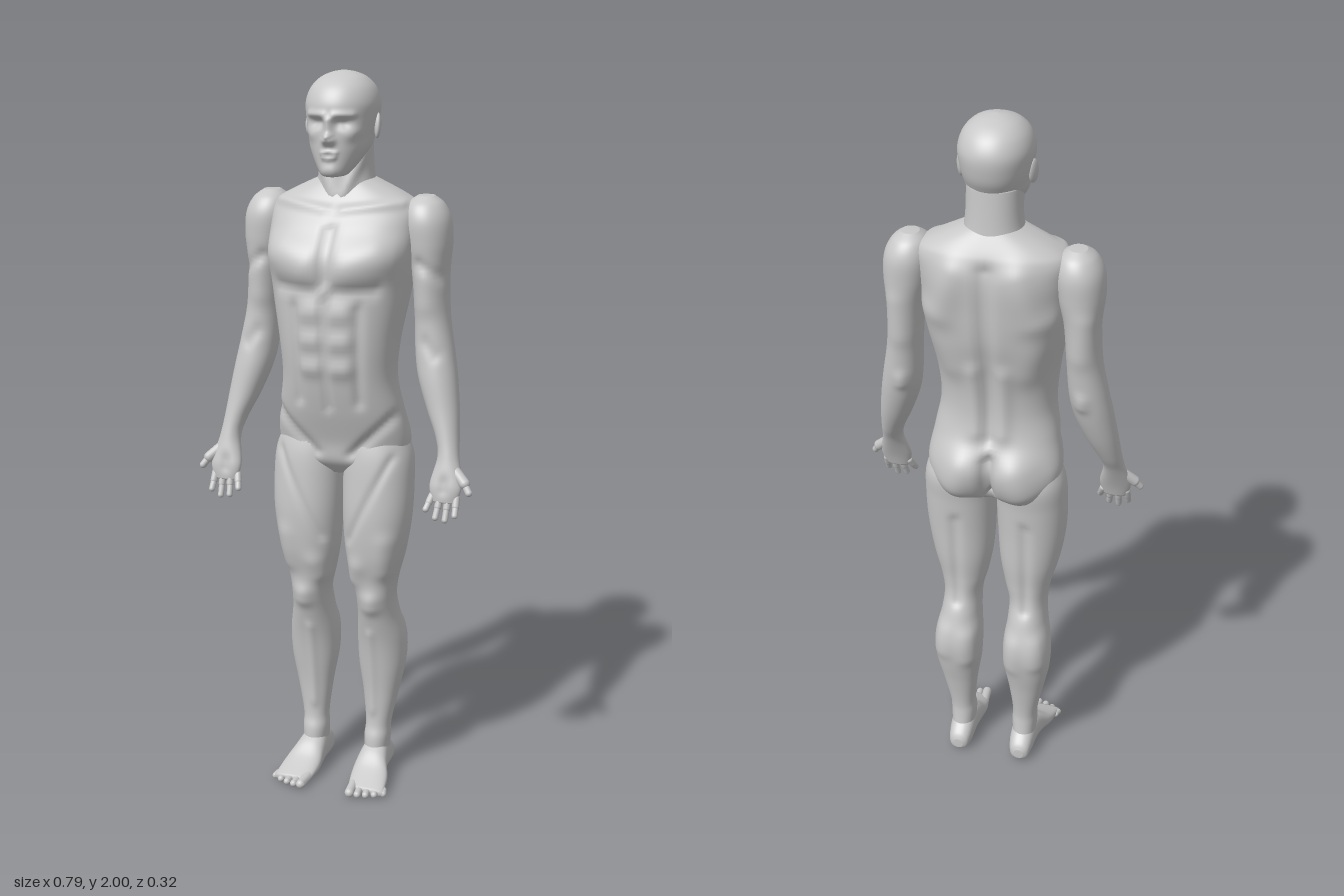
import * as THREE from 'three';

const skin = new THREE.MeshStandardMaterial({ color: 0xc8c8c8 });
skin.name = 'grey clay';

const catmull = (a, b, c, d, t) =>
  0.5 * (2 * b + (c - a) * t + (2 * a - 5 * b + 4 * c - d) * t * t + (3 * b - a - 3 * c + d) * t * t * t);

// Muscle relief: [x, y, toX, toY, radius, height] is a soft ridge or groove on the front or back, same on both sides
function sculpt(geo, front, back) {
  geo.computeVertexNormals();
  const pos = geo.attributes.position, nor = geo.attributes.normal;
  const p = new THREE.Vector3(), n = new THREE.Vector3(), q = new THREE.Vector3();
  for (let i = 0; i < pos.count; i++) {
    p.fromBufferAttribute(pos, i);
    n.fromBufferAttribute(nor, i);
    const flat = new THREE.Vector3(Math.abs(p.x), p.y, 0);
    let h = 0;
    for (const [x, y, toX, toY, r, amp] of n.z > 0 ? front : back) {
      const line = new THREE.Line3(new THREE.Vector3(x, y, 0), new THREE.Vector3(toX, toY, 0));
      line.closestPointToPoint(flat, true, q);
      h += amp * Math.exp(-flat.distanceToSquared(q) / (r * r));
    }
    p.addScaledVector(n, h * Math.min(1, 1.5 * Math.abs(n.z)));
    pos.setXYZ(i, p.x, p.y, p.z);
  }
  geo.computeVertexNormals();
  return geo;
}

// Skin over sections [t, xMin, xMax, front, back]; t runs up y, or along z when alongZ is set
function loft(sections, { around = 56, steps = 8, power = 0.92, alongZ = false, front = [], back = [] } = {}) {
  const rings = [], last = sections.length - 1;
  for (let k = 0; k < last; k++) {
    for (let s = 0; s < steps; s++) {
      const [a, b, c, d] = [k - 1, k, k + 1, k + 2].map(i => sections[Math.min(last, Math.max(0, i))]);
      rings.push(b.map((_, i) => catmull(a[i], b[i], c[i], d[i], s / steps)));
    }
  }
  rings.push(sections[last]);
  const v = [], idx = [];
  const put = (x, t, w) => (alongZ ? v.push(x, w, t) : v.push(x, t, w));
  const tri = (a, b, c) => (alongZ ? idx.push(a, c, b) : idx.push(a, b, c));
  const round = u => Math.sign(u) * Math.pow(Math.abs(u), power);
  for (const [t, x0, x1, f, b] of rings) {
    for (let i = 0; i < around; i++) {
      const ang = (i / around) * Math.PI * 2;
      put((x0 + x1) / 2 + ((x1 - x0) / 2) * round(Math.cos(ang)), t,
        (f + b) / 2 + ((f - b) / 2) * round(Math.sin(ang)));
    }
  }
  for (let j = 0; j < rings.length - 1; j++) {
    for (let i = 0; i < around; i++) {
      const a = j * around + i, b = j * around + ((i + 1) % around);
      tri(a, a + around, b);
      tri(b, a + around, b + around);
    }
  }
  // End caps
  for (const j of [0, rings.length - 1]) {
    const [t, x0, x1, f, b] = rings[j], c = v.length / 3;
    put((x0 + x1) / 2, t, (f + b) / 2);
    for (let i = 0; i < around; i++) {
      const p = j * around + i, q = j * around + ((i + 1) % around);
      if (j === 0) tri(c, p, q); else tri(c, q, p);
    }
  }
  const geo = new THREE.BufferGeometry();
  geo.setAttribute('position', new THREE.Float32BufferAttribute(v, 3));
  geo.setIndex(idx);
  return sculpt(geo, front, back);
}

// Sections [y, halfWidth, front, back] for parts on the centre line
const centred = rows => rows.map(([y, w, f, b]) => [y, -w, w, f, b]);

// Rounded finger or toe bone between two points
function digit(a, b, r) {
  const A = new THREE.Vector3(...a), B = new THREE.Vector3(...b), d = B.clone().sub(A);
  const geo = new THREE.CapsuleGeometry(r, d.length(), 6, 14);
  geo.applyQuaternion(new THREE.Quaternion().setFromUnitVectors(new THREE.Vector3(0, 1, 0), d.normalize()));
  return geo.translate(...A.add(B).multiplyScalar(0.5).toArray());
}

function mirrored(geo) {
  const g = geo.clone().scale(-1, 1, 1), ix = g.index.array;
  for (let i = 0; i < ix.length; i += 3) [ix[i], ix[i + 1]] = [ix[i + 1], ix[i]];
  g.computeVertexNormals();
  return g;
}

export function createModel() {
  const man = new THREE.Group();
  man.name = 'standingMan';
  const add = (name, geo) => {
    const m = new THREE.Mesh(geo, skin);
    m.name = name;
    man.add(m);
  };
  const pair = (name, geo) => {
    add('left' + name, geo);
    add('right' + name, mirrored(geo));
  };

  // Torso: pelvis, belly, chest and sloping shoulders
  const trunk = centred([
    [0.92, 0.08, 0.03, -0.08], [0.96, 0.165, 0.066, -0.11], [1.02, 0.186, 0.078, -0.122],
    [1.11, 0.172, 0.108, -0.105], [1.2, 0.157, 0.131, -0.097], [1.3, 0.164, 0.144, -0.108],
    [1.42, 0.184, 0.147, -0.138], [1.53, 0.198, 0.142, -0.15], [1.6, 0.202, 0.104, -0.152],
    [1.65, 0.2, 0.066, -0.142], [1.68, 0.165, 0.045, -0.13], [1.73, 0.06, 0.02, -0.1],
  ]);
  const trunkFront = [
    [0.06, 1.505, 0.13, 1.53, 0.05, 0.02], // chest
    [0, 1.6, 0, 1.47, 0.014, -0.013],
    [0.03, 1.445, 0.13, 1.45, 0.016, -0.009],
    [0.02, 1.645, 0.17, 1.665, 0.012, 0.008], // collarbone
    ...[1.385, 1.31, 1.235].map(y => [0.03, y, 0.05, y, 0.024, 0.009]), // belly muscles
    [0, 1.42, 0, 1.12, 0.009, -0.007],
    [0.09, 1.4, 0.085, 1.14, 0.014, -0.008],
    [0.17, 1.1, 0.05, 0.985, 0.014, -0.01], // groin line
  ];
  const trunkBack = [
    [0, 1.63, 0, 1.12, 0.02, -0.016], // spine
    [0.085, 1.62, 0.12, 1.5, 0.04, 0.014], // shoulder blade
    [0.16, 1.49, 0.1, 1.33, 0.04, 0.008],
    [0.04, 1.33, 0.035, 1.14, 0.022, 0.009],
    [0.07, 1.03, 0.085, 0.98, 0.06, 0.035], // buttocks
    [0, 1.06, 0, 0.92, 0.014, -0.03],
  ];
  add('torso', loft(trunk, { around: 112, power: 0.84, front: trunkFront, back: trunkBack }));

  // Neck
  const neck = centred([[1.62, 0.1, 0.045, -0.12], [1.73, 0.075, 0.037, -0.107], [1.83, 0.07, 0.03, -0.1]]);
  add('neck', loft(neck, { steps: 16, front: [[0.066, 1.8, 0.015, 1.68, 0.013, 0.007]] }));

  // Head with sculpted face
  const skull = centred([
    [1.735, 0.022, 0.092, 0.04], [1.745, 0.04, 0.102, 0.01], [1.8, 0.074, 0.106, -0.075],
    [1.84, 0.084, 0.106, -0.108], [1.88, 0.092, 0.108, -0.122], [1.92, 0.095, 0.106, -0.125],
    [1.955, 0.084, 0.088, -0.11], [1.98, 0.062, 0.058, -0.083], [1.994, 0.034, 0.022, -0.05],
    [2, 0.004, -0.008, -0.016],
  ]);
  const face = [
    [0, 1.878, 0, 1.845, 0.011, 0.011], // nose
    [0, 1.834, 0.004, 1.828, 0.012, 0.018],
    [0.028, 1.872, 0.042, 1.871, 0.014, -0.011], // eyes
    [0.014, 1.892, 0.055, 1.893, 0.01, 0.006],
    [0.06, 1.848, 0.05, 1.842, 0.018, 0.006], // cheeks
    [0, 1.8, 0.018, 1.797, 0.006, 0.006], // lips
    [0, 1.783, 0.015, 1.785, 0.006, 0.006],
    [0, 1.752, 0.008, 1.752, 0.015, 0.006], // chin
  ];
  add('head', loft(skull, { around: 112, steps: 12, power: 0.95, front: face }));

  // Ears
  const ear = new THREE.SphereGeometry(1, 20, 14).scale(0.009, 0.033, 0.019);
  pair('Ear', ear.rotateY(0.35).rotateX(-0.15).translate(0.093, 1.86, -0.012));

  // Arms from palm to shoulder cap
  const arm = [
    [0.885, 0.284, 0.35, 0.093, 0.068], [0.93, 0.274, 0.362, 0.093, 0.05], [1, 0.287, 0.346, 0.074, 0.015],
    [1.05, 0.276, 0.339, 0.062, -0.015], [1.12, 0.244, 0.331, 0.05, -0.048], [1.2, 0.214, 0.319, 0.04, -0.075],
    [1.27, 0.201, 0.306, 0.029, -0.09], [1.37, 0.195, 0.288, 0.02, -0.102], [1.48, 0.186, 0.283, 0.024, -0.11],
    [1.56, 0.167, 0.29, 0.033, -0.117], [1.62, 0.16, 0.286, 0.033, -0.117], [1.66, 0.17, 0.267, 0.014, -0.1],
    [1.682, 0.195, 0.24, -0.02, -0.07],
  ];
  pair('Arm', loft(arm, {
    power: 0.95,
    front: [
      [0.235, 1.47, 0.235, 1.4, 0.03, 0.007], // biceps
      [0.22, 1.51, 0.28, 1.47, 0.014, -0.007],
      [0.24, 1.3, 0.27, 1.27, 0.018, -0.006],
      [0.315, 0.94, 0.315, 0.92, 0.016, -0.006], // palm hollow
    ],
    back: [[0.25, 1.5, 0.24, 1.4, 0.03, 0.006], [0.245, 1.27, 0.245, 1.25, 0.018, 0.008]], // triceps, elbow
  }));

  // Fingers, two bones each, then the thumb
  [0.866, 0.845, 0.841, 0.856].forEach((tipY, i) => {
    const x = 0.283 + i * 0.0223, tipX = 0.272 + i * 0.0267;
    const mid = [(x + tipX) / 2, (0.9 + tipY) / 2, 0.088];
    pair('Finger' + (i + 1), digit([x, 0.9, 0.078], mid, 0.0098));
    pair('Fingertip' + (i + 1), digit(mid, [tipX, tipY, 0.1], 0.0085));
  });
  pair('ThumbBase', digit([0.34, 0.968, 0.06], [0.37, 0.94, 0.074], 0.015));
  pair('ThumbTip', digit([0.37, 0.94, 0.074], [0.385, 0.918, 0.084], 0.0098));

  // Legs from ankle to hip
  const leg = [
    [0.03, 0.064, 0.126, 0.01, -0.1], [0.11, 0.058, 0.131, 0.008, -0.088], [0.16, 0.06, 0.133, -0.004, -0.087],
    [0.25, 0.05, 0.151, -0.004, -0.102], [0.34, 0.036, 0.169, 0.006, -0.122], [0.42, 0.034, 0.17, 0.02, -0.129],
    [0.5, 0.042, 0.155, 0.042, -0.11], [0.56, 0.042, 0.151, 0.056, -0.09], [0.62, 0.028, 0.16, 0.062, -0.088],
    [0.7, 0.013, 0.181, 0.079, -0.095], [0.8, 0.006, 0.197, 0.086, -0.1], [0.9, 0.004, 0.2, 0.08, -0.108],
    [0.98, 0.006, 0.194, 0.07, -0.115], [1.05, 0.03, 0.165, 0.05, -0.09],
  ];
  pair('Leg', loft(leg, {
    around: 72,
    front: [
      [0.1, 0.56, 0.1, 0.54, 0.024, 0.01], // kneecap
      [0.06, 0.66, 0.05, 0.62, 0.026, 0.009], // thigh muscles
      [0.145, 0.74, 0.14, 0.65, 0.026, 0.007],
      [0.16, 0.98, 0.04, 0.74, 0.012, -0.006],
      [0.09, 0.45, 0.09, 0.2, 0.012, 0.005], // shin
    ],
    back: [
      [0.1, 0.84, 0.1, 0.55, 0.016, -0.008], // hamstring groove
      [0.065, 0.44, 0.065, 0.36, 0.028, 0.008], // calf
      [0.14, 0.45, 0.14, 0.38, 0.028, 0.007],
    ],
  }));

  // Feet and toes
  const foot = [
    [-0.123, 0.08, 0.108, 0.045, 0.015], [-0.112, 0.066, 0.122, 0.064, 0.003], [-0.08, 0.058, 0.129, 0.09, 0],
    [-0.03, 0.056, 0.133, 0.105, 0], [0.015, 0.052, 0.142, 0.088, 0], [0.06, 0.05, 0.158, 0.054, 0],
    [0.125, 0.06, 0.165, 0.022, 0.003],
  ];
  pair('Foot', loft(foot, { alongZ: true, around: 40, power: 0.85 }));
  for (let i = 0; i < 5; i++) {
    const x = 0.07 + i * 0.0225, r = i === 0 ? 0.0135 : 0.0108 - i * 0.0004;
    pair('Toe' + (i + 1), digit([x, r + 0.003, 0.1], [x + 0.004, r, 0.148 - 0.002 * i * i], r));
  }
  return man;
}
